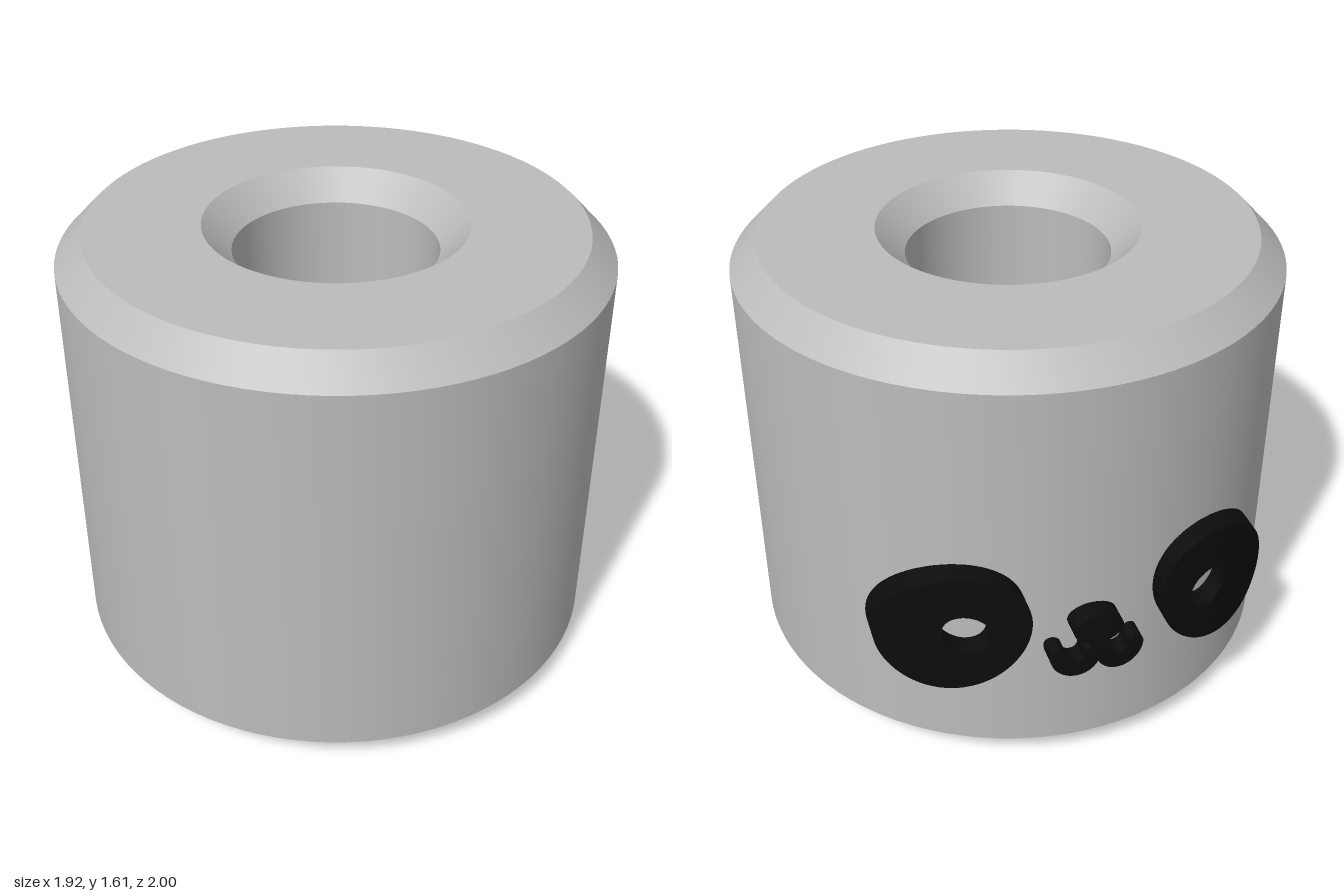
import * as THREE from 'three';
import { toCreasedNormals } from 'three/addons/utils/BufferGeometryUtils.js';

const CENTER_Z = 0.035;
const BODY_R = 0.96;
const RELIEF_R = 1.035;
const INNER_R = 0.95;

// Places a flat x coordinate on the back of a cylinder of radius r
const wrapZ = (x, r) => CENTER_Z - Math.sqrt(r * r - x * x);

// Raised ring wrapped on the back: centre-side and outer outlines are functions of the angle
function wrappedRing(inner, outer, side = 1, segments = 72, steps = 8) {
  const positions = [], index = [];
  const rows = steps + 3;
  for (let i = 0; i <= segments; i++) {
    const t = side * (i % segments) / segments * Math.PI * 2;
    const [ax, ay] = inner(t), [bx, by] = outer(t);
    for (let j = 0; j < rows; j++) {
      const k = THREE.MathUtils.clamp((j - 1) / steps, 0, 1);
      const x = side * THREE.MathUtils.lerp(ax, bx, k);
      const r = j === 0 || j === rows - 1 ? INNER_R : RELIEF_R;
      positions.push(x, THREE.MathUtils.lerp(ay, by, k), wrapZ(x, r));
      if (i < segments && j < rows - 1) {
        const a = i * rows + j, b = a + rows;
        index.push(a, b, a + 1, b, b + 1, a + 1);
      }
    }
  }
  const geometry = new THREE.BufferGeometry();
  geometry.setAttribute('position', new THREE.Float32BufferAttribute(positions, 3));
  geometry.setIndex(index);
  return toCreasedNormals(geometry, 0.6);
}

// Small extruded shape wrapped on the back
function wrappedShape(shape) {
  const geometry = new THREE.ExtrudeGeometry(shape, { depth: 1, bevelEnabled: false, curveSegments: 20 });
  const p = geometry.attributes.position;
  for (let i = 0; i < p.count; i++) {
    p.setZ(i, wrapZ(p.getX(i), p.getZ(i) < 0.5 ? RELIEF_R : INNER_R));
  }
  return toCreasedNormals(geometry, 0.6);
}

// Ellipse outline, tilted by an angle
const ellipse = (cx, cy, a, b, tilt = 0) => (t) => {
  const u = a * Math.cos(t - tilt), v = b * Math.sin(t - tilt);
  return [
    cx + u * Math.cos(tilt) - v * Math.sin(tilt),
    cy + u * Math.sin(tilt) + v * Math.cos(tilt),
  ];
};

export function createModel() {
  const group = new THREE.Group();
  const grey = new THREE.MeshStandardMaterial({ color: 0xbcbcbc });
  grey.name = 'grey';
  const black = new THREE.MeshStandardMaterial({ color: 0x0c0c0c });
  black.name = 'black';
  const add = (name, geometry, material) => {
    const mesh = new THREE.Mesh(geometry, material);
    mesh.name = name;
    group.add(mesh);
    return mesh;
  };

  // Chamfered cylinder with a countersunk through hole
  const profile = [
    [0.36, 0.1], [0.46, 0], [0.865, 0], [BODY_R, 0.097], [BODY_R, 1.513],
    [0.865, 1.61], [0.46, 1.61], [0.36, 1.51], [0.36, 0.1],
  ].map(([x, y]) => new THREE.Vector2(x, y));
  const body = add('body', toCreasedNormals(new THREE.LatheGeometry(profile, 96), 0.5), grey);
  body.position.z = CENTER_Z;

  // Tilted eye patches with round eye holes
  for (const side of [1, -1]) {
    add(side > 0 ? 'leftEyePatch' : 'rightEyePatch', wrappedRing(
      ellipse(0.42, 0.637, 0.077, 0.077),
      ellipse(0.46, 0.632, 0.268, 0.207, -Math.PI / 4),
      side,
    ), black);
  }

  // Nose
  add('nose', wrappedRing(ellipse(0, 0.633, 0.001, 0.001), ellipse(0, 0.633, 0.085, 0.056), 1, 40, 4), black);

  // Line from nose to mouth
  const stem = new THREE.Shape();
  stem.moveTo(-0.027, 0.51);
  stem.lineTo(0.027, 0.51);
  stem.lineTo(0.027, 0.6);
  stem.lineTo(-0.027, 0.6);
  add('noseLine', wrappedShape(stem), black);

  // Mouth: two upturned arcs with round ends
  for (const side of [1, -1]) {
    const cx = side * 0.077, cy = 0.533, r = 0.057, w = 0.028;
    const arc = new THREE.Shape();
    arc.absarc(cx, cy, r + w, Math.PI, Math.PI * 2, false);
    arc.absarc(cx + r, cy, w, 0, Math.PI, false);
    arc.absarc(cx, cy, r - w, Math.PI * 2, Math.PI, true);
    arc.absarc(cx - r, cy, w, 0, Math.PI, false);
    add(side > 0 ? 'leftMouthArc' : 'rightMouthArc', wrappedShape(arc), black);
  }
  return group;
}
